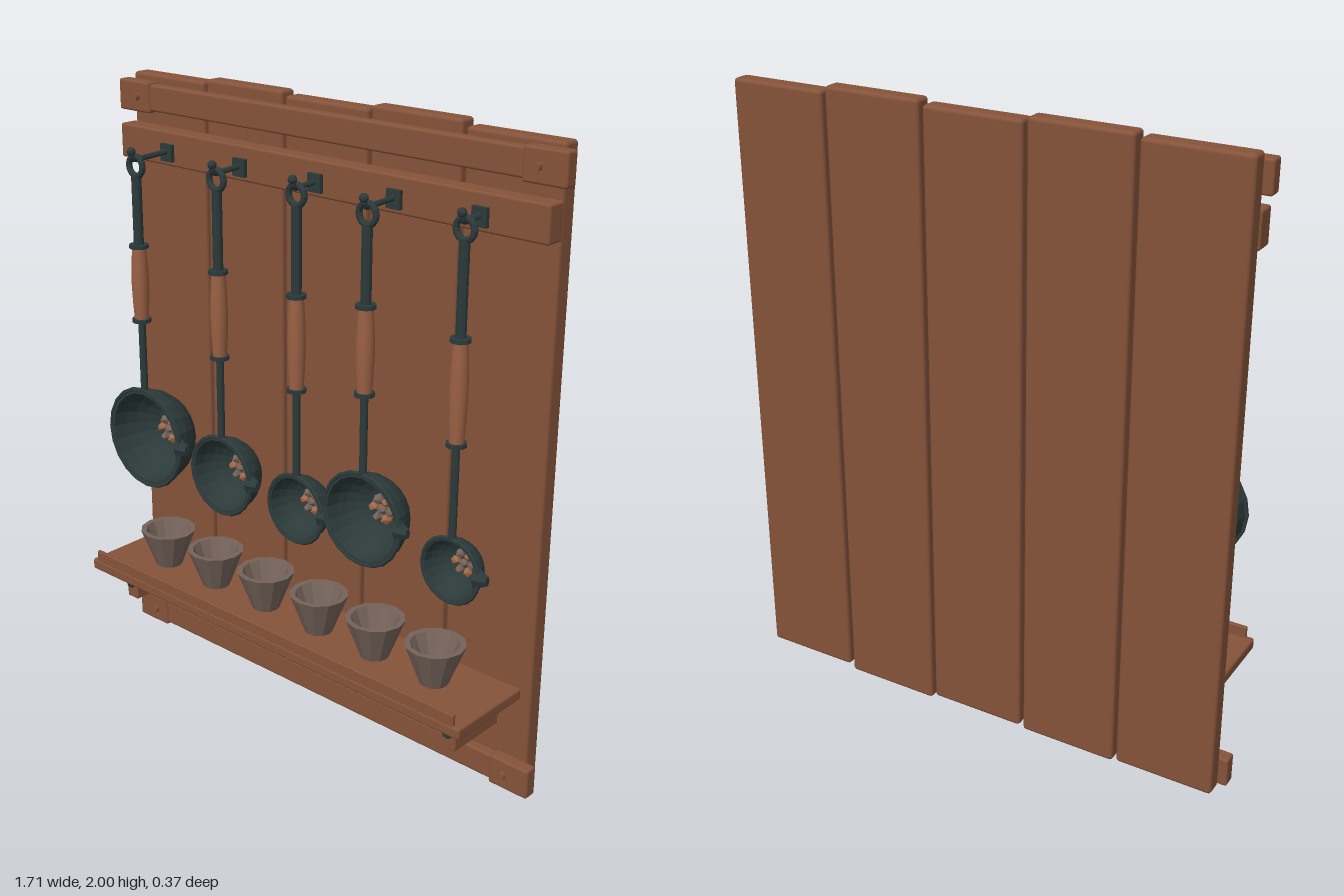
import * as THREE from 'three';
import { RoundedBoxGeometry } from 'three/addons/geometries/RoundedBoxGeometry.js';

const mat = (name, color, flatShading = false) => {
  const m = new THREE.MeshStandardMaterial({ color, flatShading });
  m.name = name;
  return m;
};

export function createModel() {
  const wood = mat('wood', 0x85533a);
  const gripWood = mat('gripWood', 0x9a6044);
  const iron = mat('iron', 0x2c3a3a, true);
  const clay = mat('clay', 0x75635a, true);
  const copper = mat('copper', 0xa06848, true);
  const root = new THREE.Group();
  root.name = 'ladleRack';

  const add = (parent, name, geo, material, x = 0, y = 0, z = 0) => {
    const m = new THREE.Mesh(geo, material);
    m.name = name;
    m.position.set(x, y, z);
    parent.add(m);
    return m;
  };
  // rounded box given by its extents
  const box = (name, x0, x1, y0, y1, z0, z1, material = wood, r = 0.008) =>
    add(root, name, new RoundedBoxGeometry(x1 - x0, y1 - y0, z1 - z0, 2, r), material,
      (x0 + x1) / 2, (y0 + y1) / 2, (z0 + z1) / 2);
  const lathe = (pts, seg) =>
    new THREE.LatheGeometry(pts.map(([x, y]) => new THREE.Vector2(x, y)), seg);
  // rod along y between two heights
  const rod = (parent, name, r, y0, y1, z, material = iron) =>
    add(parent, name, new THREE.CylinderGeometry(r, r, y1 - y0, 10), material, 0, (y0 + y1) / 2, z);
  // bolt head pointing forward
  const bolt = (name, x, y, z0, z1, r, material) =>
    add(root, name, new THREE.CylinderGeometry(r, r, z1 - z0, 8).rotateX(Math.PI / 2),
      material, x, y, (z0 + z1) / 2);

  // Back planks
  [[0.015, 1.99], [0.008, 2], [0.015, 1.988], [0, 2], [0.015, 1.983]].forEach(([y0, y1], i) => {
    const x = -0.67 + i * 0.333;
    box('plank', x - 0.16, x + 0.16, y0, y1, -0.183, -0.122, wood, 0.012);
  });

  // Cross battens with end plates and bolts
  for (const y of [1.92, 0.068]) {
    box('batten', -0.84, 0.84, y - 0.042, y + 0.042, -0.125, -0.087);
    for (const s of [-1, 1]) {
      const x = s * 0.787;
      box('battenEndPlate', x - 0.07, x + 0.07, y - 0.049, y + 0.049, -0.126, -0.08);
      bolt('battenBolt', s * 0.77, y, -0.085, -0.066, 0.012, wood);
    }
  }

  // Hook rail
  box('hookRail', -0.833, 0.827, 1.722, 1.832, -0.125, -0.06);

  // Shelf with front lip and two brackets
  box('shelfBoard', -0.797, 0.79, 0.322, 0.36, -0.122, 0.183);
  box('shelfLip', -0.773, 0.766, 0.355, 0.396, 0.167, 0.181, wood, 0.004);
  for (const x of [-0.7, 0.688]) {
    box('shelfBracket', x - 0.025, x + 0.025, 0.207, 0.325, -0.122, 0.092, wood, 0.005);
    bolt('bracketBolt', x, 0.264, 0.09, 0.103, 0.016, iron);
  }

  // Row of clay cups
  const cupGeo = lathe([[0, 0], [0.045, 0], [0.094, 0.13], [0.076, 0.13], [0.038, 0.04], [0, 0.04]], 12);
  for (let i = 0; i < 6; i++) add(root, 'cup', cupGeo, clay, -0.58 + i * 0.231, 0.36, 0.022);

  // Bowl profile: hemisphere shell, opening forward
  const bowlGeo = (r, depth) => {
    const pts = [];
    for (let i = 0; i <= 6; i++) {
      const a = (i / 6) * Math.PI / 2;
      pts.push([r * 0.95 * Math.sin(a), -depth * Math.cos(a)]);
    }
    pts.push([r, 0], [r, 0.008], [r * 0.88, 0.008]);
    for (let i = 5; i >= 0; i--) {
      const a = (i / 6) * Math.PI / 2;
      pts.push([r * 0.86 * Math.sin(a), -depth * 0.85 * Math.cos(a)]);
    }
    return lathe(pts, 20).rotateX(Math.PI / 2);
  };

  const nugget = new THREE.IcosahedronGeometry(1, 0);

  // Ladles: x, bowl centre height, bowl radius, grip bottom, grip top, rim z
  [
    [-0.608, 0.835, 0.174, 1.245, 1.49, 0.08],
    [-0.287, 0.782, 0.136, 1.185, 1.46, 0.045],
    [0.021, 0.754, 0.116, 1.148, 1.443, 0.026],
    [0.317, 0.825, 0.151, 1.22, 1.482, 0.06],
    [0.612, 0.74, 0.105, 1.132, 1.438, 0.01],
  ].forEach(([x, by, r, g0, g1, z]) => {
    const ladle = new THREE.Group();
    ladle.name = 'ladle';
    ladle.position.x = x;
    root.add(ladle);

    // Hook: plate, peg and upturned tip
    add(ladle, 'hookPlate', new THREE.BoxGeometry(0.05, 0.055, 0.014), iron, 0, 1.766, -0.054);
    const peg = new THREE.CatmullRomCurve3([
      [1.77, -0.05], [1.766, z - 0.02], [1.766, z + 0.005], [1.775, z + 0.015], [1.796, z + 0.017],
    ].map(([py, pz]) => new THREE.Vector3(0, py, pz)));
    add(ladle, 'hook', new THREE.TubeGeometry(peg, 16, 0.009, 8), iron);
    add(ladle, 'hookTip', new THREE.IcosahedronGeometry(0.014, 1), iron, 0, 1.792, z + 0.017);

    // Handle
    add(ladle, 'hangingRing', new THREE.TorusGeometry(0.031, 0.01, 8, 14), iron, 0, 1.745, z);
    rod(ladle, 'upperRod', 0.016, g1, 1.718, z);
    rod(ladle, 'lowerRod', 0.012, by + r * 0.92, g0, z);
    for (const y of [g0, g1]) rod(ladle, 'gripCollar', 0.031, y - 0.006, y + 0.006, z);
    const h = g1 - g0;
    add(ladle, 'grip', lathe([[0.022, 0], [0.026, h * 0.25], [0.028, h * 0.5], [0.026, h * 0.75], [0.022, h]], 16),
      gripWood, 0, g0, z);

    // Bowl with rim and side spout
    const depth = z + 0.083;
    add(ladle, 'bowl', bowlGeo(r, depth), iron, 0, by, z);
    add(ladle, 'rim', new THREE.TorusGeometry(r * 0.965, 0.007, 6, 20), iron, 0, by, z + 0.005);
    const spout = add(ladle, 'spout',
      new THREE.CylinderGeometry(0.016, 0.034, 0.04, 6).rotateZ(-Math.PI / 2), iron,
      r * 0.96 + 0.006, by + 0.005, z - 0.002);
    spout.scale.z = 0.7;

    // Small heap of nuggets inside the bowl
    const k = 0.022 + r * 0.07;
    for (let i = 0; i < 7; i++) {
      const a = i * Math.PI / 3, d = i === 6 ? 0 : k;
      const n = add(ladle, 'nugget', nugget, i % 2 ? copper : clay,
        d * Math.cos(a), by + d * Math.sin(a), z - depth * 0.68);
      n.scale.set(k * 0.52, k * 0.45, depth * 0.18);
      n.rotation.z = a;
    }
  });

  return root;
}
